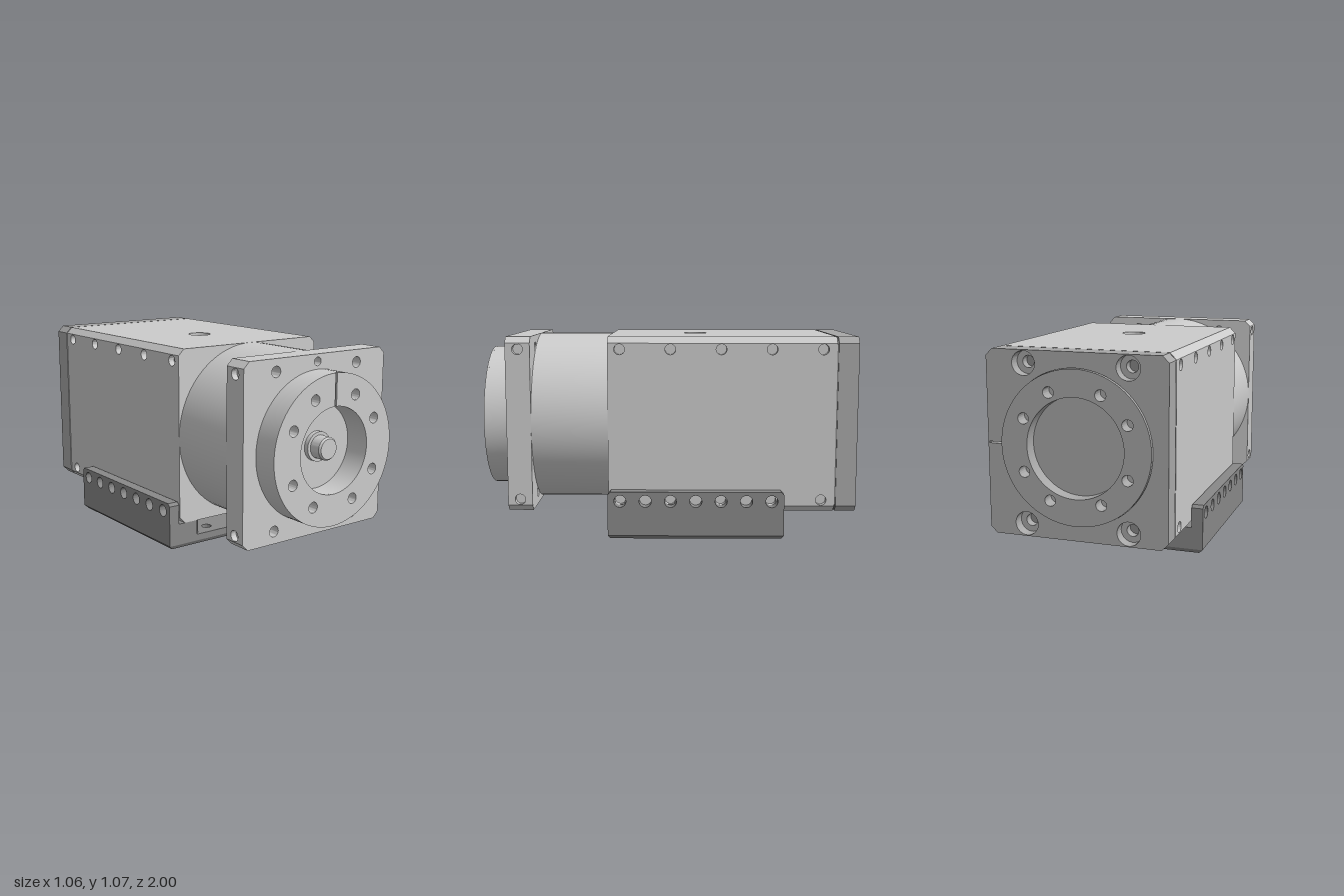
import * as THREE from 'three';
import { toCreasedNormals } from 'three/addons/utils/BufferGeometryUtils.js';

const AXIS = 0.6;   // height of the main axis
const H = 0.465;    // half width of the square housing
const C = 0.033;    // corner chamfer
const MID = -0.135; // z centre of the mounting bracket

const light = new THREE.MeshStandardMaterial({ color: 0xcccccc });
const capGrey = new THREE.MeshStandardMaterial({ color: 0xa8a8a8 });
const darkGrey = new THREE.MeshStandardMaterial({ color: 0x888888 });
const twoSided = new THREE.MeshStandardMaterial({ color: 0xcccccc, side: THREE.DoubleSide });

const SIGNS = [-1, 1];
const quad = (a, b) => SIGNS.flatMap(s => SIGNS.map(t => [s * a, t * b]));
const CORNERS = quad(0.267, 0.4);
const CIRCLE8 = [...quad(0.133, 0.267), ...quad(0.267, 0.133)];

const poly = pts => new THREE.Shape(pts.map(p => new THREE.Vector2(...p)));
const rect = (x0, y0, x1, y1) => poly([[x0, y0], [x1, y0], [x1, y1], [x0, y1]]);
const disc = r => new THREE.Shape().absarc(0, 0, r, 0, Math.PI * 2);

// Rectangle with cut corners
function chamfered(x0, y0, x1, y1, c) {
  return poly([[x0 + c, y0], [x1 - c, y0], [x1, y0 + c], [x1, y1 - c],
    [x1 - c, y1], [x0 + c, y1], [x0, y1 - c], [x0, y0 + c]]);
}

function drill(shape, r, centres) {
  for (const [x, y] of centres) shape.holes.push(new THREE.Path().absarc(x, y, r, 0, Math.PI * 2, true));
  return shape;
}

function extrude(shape, depth, segments = 24) {
  return new THREE.ExtrudeGeometry(shape, { depth, bevelEnabled: false, curveSegments: segments });
}

function add(group, name, geometry, x = 0, y = 0, z = 0, material = light) {
  const mesh = new THREE.Mesh(toCreasedNormals(geometry, 0.5), material);
  mesh.name = name;
  mesh.position.set(x, y, z);
  group.add(mesh);
  return mesh;
}

// Slab lying between z0 and z1, its outline centred on the main axis
const slab = (g, name, shape, z0, z1, mat, seg) => add(g, name, extrude(shape, z1 - z0, seg), 0, AXIS, z0, mat);

// Side plates with drilled holes; their outer edges slope to form the chamfers
function sidePlates(group, name, z0, z1, holeZ) {
  for (const s of SIGNS) {
    const shape = rect(Math.min(-s * z0, -s * z1), -H, Math.max(-s * z0, -s * z1), H);
    drill(shape, 0.028, holeZ.flatMap(z => [[-s * z, 0.4], [-s * z, -0.4]]));
    const geo = extrude(shape, C);
    const p = geo.attributes.position;
    for (let i = 0; i < p.count; i++) {
      if (p.getZ(i) > C / 2 && Math.abs(p.getY(i)) > 0.45) p.setY(i, Math.sign(p.getY(i)) * (H - C));
    }
    add(group, name, geo.rotateY(s * Math.PI / 2), s * (H - C), AXIS, 0);
  }
}

function makeHousing() {
  const g = new THREE.Group();
  g.name = 'housing';
  const w = H - C;
  slab(g, 'housingCore', rect(-w, -H, w, H - 0.02), -0.87, 0.33);
  sidePlates(g, 'housingSide', -0.87, 0.33, [0.267, 0, -0.267, -0.533, -0.8]);
  const top = drill(rect(-w, -0.33, w, 0.87), 0.062, [[0, -MID]]);
  add(g, 'housingTop', extrude(top, 0.02, 40).rotateX(-Math.PI / 2), 0, AXIS + H - 0.02, 0);
  const neck = new THREE.CylinderGeometry(H, H, 0.405, 96).rotateX(Math.PI / 2);
  add(g, 'neck', neck, 0, AXIS, 0.5325);
  return g;
}

function makeFront() {
  const g = new THREE.Group();
  g.name = 'frontFlange';
  const w = H - C;
  const plate = drill(drill(rect(-w, -H, w, H), 0.028, CORNERS), 0.022, [[0, 0.427]]);
  slab(g, 'flangePlate', plate, 0.735, 0.865);
  sidePlates(g, 'flangeSide', 0.735, 0.865, [0.8]);

  // Boss ring, then a thin face layer split by the index slot
  const R = 0.388, r = 0.222, slot = 0.005;
  slab(g, 'bossRing', drill(drill(disc(R), r, [[0, 0]]), 0.028, CIRCLE8), 0.865, 0.99, light, 48);
  const a = Math.asin(slot / R), b = Math.asin(slot / r), up = Math.PI / 2;
  const face = new THREE.Shape();
  face.absarc(0, 0, R, up + a, up - a + Math.PI * 2, false);
  face.absarc(0, 0, r, up - b + Math.PI * 2, up + b, true);
  slab(g, 'bossFace', drill(face, 0.028, CIRCLE8), 0.99, 1, light, 96);

  // Drill points at the bottom of the boss holes
  for (const [x, y] of CIRCLE8) {
    const cone = new THREE.ConeGeometry(0.028, 0.03, 24, 1, true).rotateX(-Math.PI / 2);
    add(g, 'drillPoint', cone, x, AXIS + y, 0.895, twoSided);
  }

  // Stepped shaft in the recess
  const profile = [[0.077, 0], [0.077, 0.025], [0.06, 0.025], [0.06, 0.085], [0.052, 0.095], [0, 0.095]];
  const shaft = new THREE.LatheGeometry(profile.map(p => new THREE.Vector2(...p)), 48).rotateX(Math.PI / 2);
  add(g, 'shaft', shaft, 0, AXIS, 0.865);
  return g;
}

function makeRearCap() {
  const g = new THREE.Group();
  g.name = 'rearCap';
  const outline = () => chamfered(-H, -H, H, H, C);
  slab(g, 'capGasket', chamfered(-0.458, -0.458, 0.458, 0.458, C), -0.878, -0.87, darkGrey);
  slab(g, 'capBase', drill(outline(), 0.03, CORNERS), -0.925, -0.878, capGrey);
  const face = drill(drill(outline(), 0.06, CORNERS), 0.388, [[0, 0]]);
  face.holes.push(new THREE.Path(rect(0.395, -0.004, 0.46, 0.004).getPoints().reverse()));
  slab(g, 'capFace', face, -0.985, -0.925, capGrey, 48);
  const ring = drill(drill(disc(0.386), 0.25, [[0, 0]]), 0.028, CIRCLE8);
  slab(g, 'capRing', ring, -1, -0.925, capGrey, 48);
  return g;
}

function makeBracket() {
  const g = new THREE.Group();
  g.name = 'mountingBracket';
  const X = 0.53, Z = 0.465;
  const holes = [...quad(0.39, 0.385), ...quad(0.39, 0.245), ...quad(0.23, 0.38), ...quad(0.23, 0.24), [0.39, 0], [-0.39, 0]];
  const base = () => drill(drill(rect(-X, -Z, X, Z), 0.215, [[0, 0]]), 0.027, holes);

  // Bottom layer tapers inward to chamfer the lower edges
  const lower = extrude(base(), 0.02, 32);
  const p = lower.attributes.position;
  for (let i = 0; i < p.count; i++) {
    if (p.getZ(i) < 0.01 && Math.abs(p.getX(i)) > 0.5) p.setXY(i, p.getX(i) * 0.96, p.getY(i) * 0.975);
  }
  add(g, 'baseUnderside', lower.rotateX(-Math.PI / 2), 0, 0, MID, darkGrey);
  add(g, 'basePlate', extrude(base(), 0.035, 32).rotateX(-Math.PI / 2), 0, 0.02, MID, darkGrey);

  const holeZ = [-3, -2, -1, 0, 1, 2, 3].map(i => [i * 0.1333, 0.205]);
  for (const s of SIGNS) {
    // Raised pad with its inner corners cut
    const pad = poly([[X, -Z], [X, Z], [0.355, Z], [0.335, Z - 0.02], [0.335, -Z + 0.02], [0.355, -Z]].map(([x, z]) => [s * x, z]));
    add(g, 'pad', extrude(pad, 0.08).rotateX(-Math.PI / 2), 0, 0.055, MID, darkGrey);
    // Upright rail with a row of through holes
    const rail = poly([[-Z, 0.135], [Z, 0.135], [Z, 0.24], [Z - 0.015, 0.255], [-Z + 0.015, 0.255], [-Z, 0.24]]);
    drill(rail, 0.032, holeZ);
    add(g, 'rail', extrude(rail, 0.06).rotateY(s * Math.PI / 2), s * 0.47, 0, MID, darkGrey);
  }
  return g;
}

export function createModel() {
  const model = new THREE.Group();
  model.name = 'rotaryActuator';
  model.add(makeHousing(), makeFront(), makeRearCap(), makeBracket());
  return model;
}
